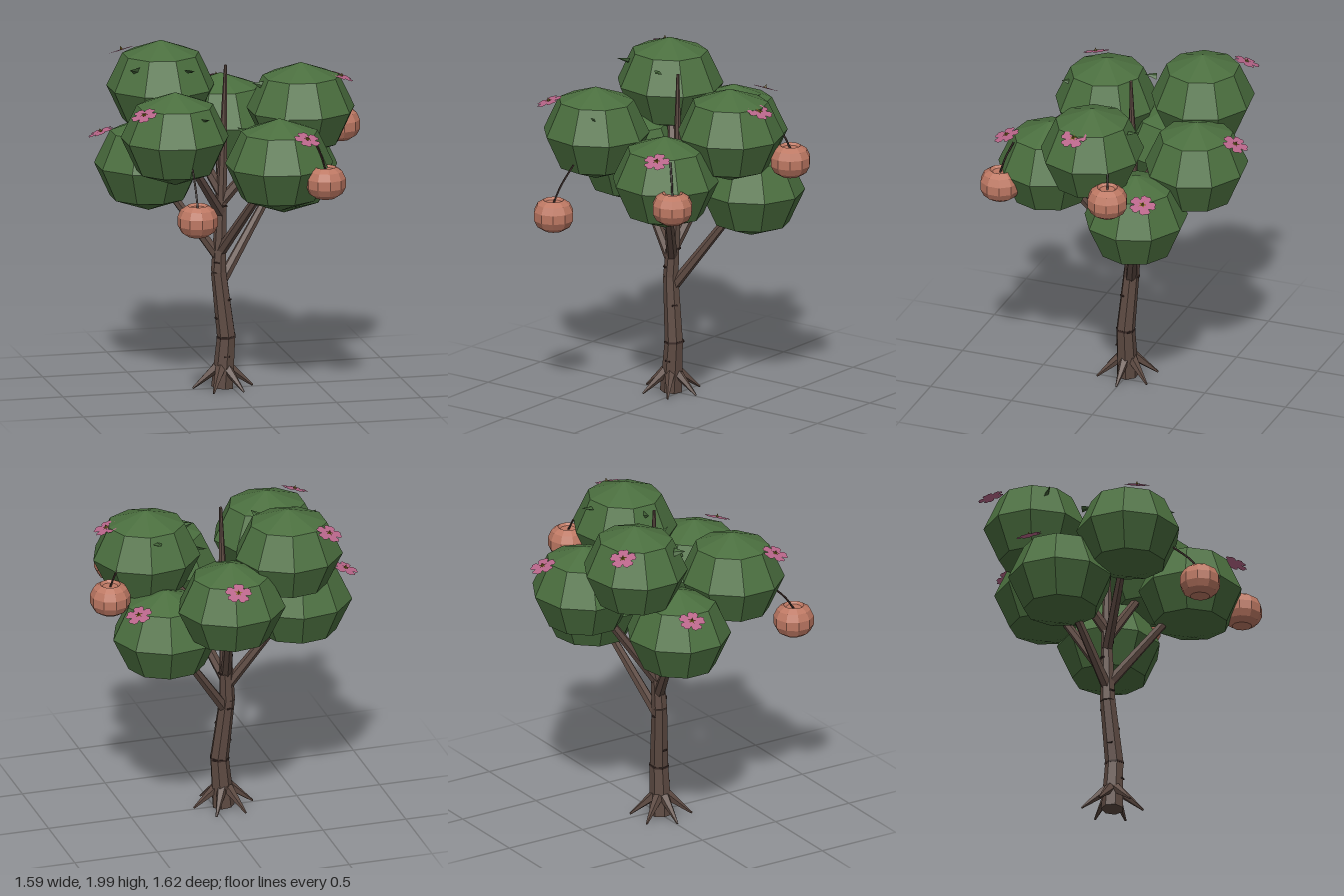
import * as THREE from 'three';

const V = (x, y, z) => new THREE.Vector3(x, y, z);
const UP = V(0, 1, 0);
const mat = (color, side = THREE.FrontSide) =>
  new THREE.MeshStandardMaterial({ color, flatShading: true, side });

const bark = mat(0x5d4a42);
const darkBark = mat(0x3a2a26);
const foliage = mat(0x4b6f3f);
const leafGreen = mat(0x47693c, THREE.DoubleSide);
const pink = mat(0xb9668a, THREE.DoubleSide);
const gold = mat(0x7d6420, THREE.DoubleSide);
const fruitSkin = mat(0xbd7863);

export function createModel() {
  const tree = new THREE.Group();
  tree.name = 'fruitTree';

  const add = (name, geometry, material, pos, parent = tree) => {
    const m = new THREE.Mesh(geometry, material);
    m.name = name;
    if (pos) m.position.copy(pos);
    parent.add(m);
    return m;
  };

  // Tapered cylinder between two points
  const limb = (name, a, b, ra, rb, sides = 6, material = bark) => {
    const d = b.clone().sub(a);
    const m = add(name, new THREE.CylinderGeometry(rb, ra, d.length(), sides), material,
      a.clone().lerp(b, 0.5));
    m.quaternion.setFromUnitVectors(UP, d.normalize());
    return m;
  };

  // Trunk: crooked stack of tapering sections
  const trunk = [
    [V(-0.055, 0.01, 0), 0.066], [V(-0.032, 0.31, 0.003), 0.055],
    [V(-0.072, 0.69, -0.02), 0.046], [V(-0.055, 1.05, -0.035), 0.034],
    [V(-0.04, 1.45, -0.04), 0.024], [V(-0.03, 1.91, -0.03), 0.009],
  ];
  for (let i = 0; i < trunk.length - 1; i++) {
    limb('trunkSection', trunk[i][0], trunk[i + 1][0], trunk[i][1], trunk[i + 1][1], 7);
  }
  const trunkAt = (y) => {
    const i = Math.max(0, trunk.findIndex(([p], k) => k < trunk.length - 1 && trunk[k + 1][0].y >= y));
    const [a, b] = [trunk[i][0], trunk[i + 1][0]];
    return a.clone().lerp(b, (y - a.y) / (b.y - a.y));
  };
  limb('trunkRing', V(-0.032, 0.303, 0.003), V(-0.033, 0.315, 0.003), 0.058, 0.058, 7, darkBark);

  // Bark ridges winding up the trunk
  for (let i = 0; i < 9; i++) {
    const y = 0.2 + i * 0.11, a = i * 2.4, r = 0.054 - i * 0.0025;
    const ridge = add('barkRidge', new THREE.BoxGeometry(0.03, 0.008, 0.012), darkBark,
      trunkAt(y).add(V(Math.sin(a) * r, 0, Math.cos(a) * r)));
    ridge.rotation.y = a;
  }

  // Roots
  for (let i = 0; i < 6; i++) {
    const a = (i * Math.PI) / 3;
    const out = (r, y) => V(-0.055 + Math.cos(a) * r, y, Math.sin(a) * r);
    limb('root', out(0.035, 0.13), out(0.178, 0.012), 0.032, 0.006, 5);
  }

  // Foliage clumps: centre and height at which the branch leaves the trunk
  const clumps = [
    [V(0.045, 1.485, -0.465), 0.85],
    [V(-0.335, 1.725, -0.355), 1.15],
    [V(-0.46, 1.325, -0.14), 0.77],
    [V(-0.4, 1.565, 0.265), 1.03],
    [V(0.19, 1.405, 0.385), 0.8],
    [V(0.4, 1.645, 0.04), 1.1],
    [V(0.36, 1.245, -0.215), 0.62],
  ];
  const clumpShape = new THREE.SphereGeometry(1, 9, 4).rotateY(Math.PI).scale(0.317, 0.275, 0.3);
  for (const [c, y] of clumps) {
    add('foliageClump', clumpShape, foliage, c);
    limb('branch', trunkAt(y), c, 0.033, 0.02);
  }

  // Flowers: five notched petals and a small star centre
  const polar = (steps, n) => {
    const pts = [];
    for (let p = 0; p < n; p++) {
      for (const [f, r] of steps) {
        const a = ((p + f) / n) * Math.PI * 2;
        pts.push(new THREE.Vector2(Math.cos(a) * r, Math.sin(a) * r));
      }
    }
    return new THREE.ShapeGeometry(new THREE.Shape(pts)).rotateX(-Math.PI / 2);
  };
  const petals = polar([[0, 0.045], [0.12, 0.069], [0.32, 0.079], [0.5, 0.072], [0.68, 0.079], [0.88, 0.069]], 5);
  const star = polar([[0, 0.01], [0.5, 0.027]], 5);
  const flowers = [
    [0.08, 1.68, -0.72], [-0.52, 1.905, -0.555], [-0.725, 1.51, -0.215], [-0.62, 1.75, 0.42],
    [0.3, 1.6, 0.61], [0.63, 1.83, 0.065], [0.56, 1.44, -0.335],
  ];
  flowers.forEach(([x, y, z], i) => {
    const flower = new THREE.Group();
    flower.name = 'flower';
    flower.position.set(x, y, z);
    const c = clumps[[0, 1, 2, 3, 4, 5, 6][i]][0];
    const out = V(x - c.x, 0, z - c.z).normalize().multiplyScalar(0.38);
    flower.quaternion.setFromUnitVectors(UP, out.add(UP).normalize());
    add('petals', petals, pink, null, flower);
    add('flowerCentre', star, gold, V(0, 0.006, 0), flower);
    add('stamen', new THREE.ConeGeometry(0.009, 0.022, 5), gold, V(0, 0.012, 0), flower);
    tree.add(flower);
  });

  // Small pointed leaves sprouting from the clumps
  const leaves = [
    [-0.27, 1.71, 0.46, 3], [-0.54, 1.87, -0.18, 1], [-0.22, 1.87, -0.08, 1],
    [0.02, 1.57, 0.165, 4], [0.4, 1.81, -0.22, 5], [0.605, 1.82, 0.045, 5], [0.15, 1.8, 0.03, 5],
  ];
  for (const [x, y, z, k] of leaves) {
    const p = V(x, y, z);
    const dir = p.clone().sub(clumps[k][0]).setY(0.06).normalize();
    const leaf = add('leaf', new THREE.ConeGeometry(0.027, 0.07, 4).scale(1, 1, 0.4), leafGreen, p);
    leaf.quaternion.setFromUnitVectors(UP, dir);
  }

  // Hanging fruit on bent stems
  const profile = [
    [0, -0.088], [0.058, -0.09], [0.097, -0.065], [0.117, -0.026], [0.117, 0.026],
    [0.097, 0.068], [0.06, 0.092], [0.045, 0.078], [0, 0.074],
  ].map(([r, y]) => new THREE.Vector2(r, y));
  const fruitShape = new THREE.LatheGeometry(profile, 10);
  const fruits = [
    [V(-0.372, 1.18, 0.705), V(-0.36, 1.44, 0.53)],
    [V(0.41, 1.34, 0.605), V(0.35, 1.59, 0.545)],
    [V(0.68, 1.49, -0.165), V(0.57, 1.73, -0.125)],
  ];
  for (const [c, top] of fruits) {
    add('fruit', fruitShape, fruitSkin, c);
    const start = c.clone().add(V(0, 0.07, 0));
    const bend = start.clone().lerp(top, 0.35).add(V(0, 0.02, 0));
    const path = new THREE.CatmullRomCurve3([start, bend, top]);
    add('fruitStem', new THREE.TubeGeometry(path, 6, 0.006, 5), darkBark);
  }

  return tree;
}
